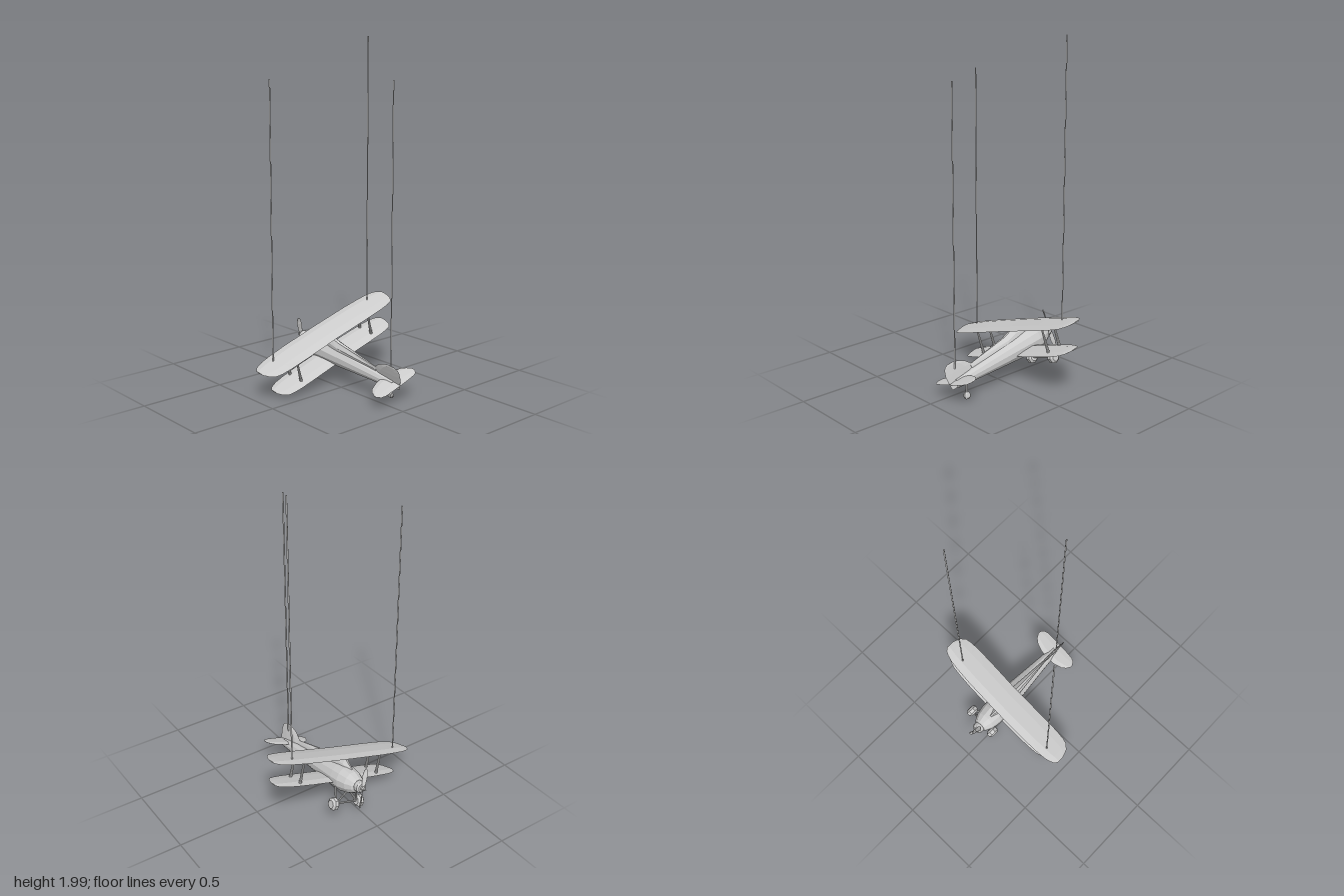
import * as THREE from 'three';

const mat = new THREE.MeshStandardMaterial({ color: 0xcccccc, flatShading: true, side: THREE.DoubleSide });

function add(parent, name, geometry) {
  const mesh = new THREE.Mesh(geometry, mat);
  mesh.name = name;
  parent.add(mesh);
  return mesh;
}

// Skin a row of equal-length cross-sections and cap both ends
function loft(sections) {
  const n = sections[0].length, index = [];
  for (let s = 0; s < sections.length - 1; s++) {
    for (let i = 0; i < n; i++) {
      const j = (i + 1) % n, a = s * n, b = a + n;
      index.push(a + i, a + j, b + j, a + i, b + j, b + i);
    }
  }
  const last = (sections.length - 1) * n;
  for (let i = 1; i < n - 1; i++) index.push(0, i + 1, i, last, last + i, last + i + 1);
  const g = new THREE.BufferGeometry();
  g.setAttribute('position', new THREE.Float32BufferAttribute(sections.flat(2), 3));
  g.setIndex(index);
  g.computeVertexNormals();
  return g;
}

// Thin aerofoil along x; stations are [x, leading z, trailing z, half thickness]
const foil = stations => loft(stations.map(([x, z0, z1, t]) =>
  [[0, 0], [0.25, 1], [0.7, 0.7], [1, 0], [0.7, -0.7], [0.25, -1]]
    .map(([f, h]) => [x, h * t, z0 + (z1 - z0) * f])));

const mirrored = half => [
  ...half.slice().reverse().filter(s => s[0] > 0).map(([x, ...r]) => [-x, ...r]), ...half];

// Tapered round bar between two points
function rod(parent, name, a, b, r0, r1 = r0, sides = 8) {
  const p = new THREE.Vector3(...a), q = new THREE.Vector3(...b);
  const d = q.clone().sub(p);
  const m = add(parent, name, new THREE.CylinderGeometry(r1, r0, d.length(), sides));
  m.position.copy(p).add(q).multiplyScalar(0.5);
  m.quaternion.setFromUnitVectors(new THREE.Vector3(0, 1, 0), d.normalize());
  return m;
}

// Profile of [radius, distance] turned about an axis
const lathe = (pts, sides) => new THREE.LatheGeometry(pts.map(p => new THREE.Vector2(...p)), sides);

function wheel(parent, name, x, y, z, r, w) {
  const g = lathe([[0, -w / 2], [r * 0.65, -w / 2], [r, -w / 4], [r, w / 4], [r * 0.65, w / 2], [0, w / 2]], 8);
  add(parent, name, g.rotateZ(-Math.PI / 2)).position.set(x, y, z);
}

export function createModel() {
  const model = new THREE.Group();
  model.name = 'hangingBiplane';

  // The aeroplane banks and climbs, nose towards -z
  const plane = new THREE.Group();
  plane.name = 'biplane';
  plane.position.set(0.048, 0.164, 0);
  plane.rotation.set(0.16, 0, 0.3, 'ZXY');
  model.add(plane);

  // Body with stepped engine cowl
  add(plane, 'fuselage', lathe([[0, -0.375], [0.026, -0.37], [0.045, -0.16], [0.063, 0.04], [0.076, 0.19],
    [0.077, 0.25], [0.066, 0.31], [0.047, 0.35], [0.035, 0.36], [0, 0.36]], 12).rotateX(-Math.PI / 2));
  add(plane, 'cowl', lathe([[0.034, 0.35], [0.034, 0.385], [0.026, 0.395], [0, 0.395]], 12).rotateX(-Math.PI / 2));
  add(plane, 'spinner', lathe([[0, 0.385], [0.014, 0.39], [0.012, 0.41], [0, 0.432]], 8).rotateX(-Math.PI / 2));

  // Raised spine running from the windscreen to the fin
  add(plane, 'spine', loft([[-0.29, 0.012, 0.07], [-0.22, 0.022, 0.112], [-0.12, 0.028, 0.115],
    [-0.05, 0.028, 0.095], [0.24, 0.006, 0.06]].map(([z, w, y]) =>
    [[w * 1.3, 0.02, z], [w, y * 0.75, z], [w * 0.3, y, z], [-w * 0.3, y, z], [-w, y * 0.75, z], [-w * 1.3, 0.02, z]])));

  // Wings: the lower one is a little smaller
  const half = [[0, -0.1, 0.097, 0.011], [0.24, -0.097, 0.102, 0.011], [0.36, -0.09, 0.102, 0.01],
    [0.42, -0.083, 0.097, 0.009], [0.455, -0.073, 0.088, 0.008], [0.482, -0.06, 0.06, 0.006], [0.497, -0.038, 0.015, 0.003]];
  add(plane, 'upperWing', foil(mirrored(half))).position.set(0, 0.125, -0.16);
  const lower = add(plane, 'lowerWing', foil(mirrored(half)));
  lower.position.set(0, -0.026, -0.133);
  lower.scale.set(0.89, 1, 0.88);

  // Tail surfaces
  add(plane, 'tailplane', foil(mirrored([[0, 0.29, 0.42, 0.007], [0.06, 0.295, 0.42, 0.007],
    [0.115, 0.315, 0.417, 0.006], [0.138, 0.337, 0.408, 0.005], [0.153, 0.365, 0.385, 0.002]]))).position.y = 0.015;
  add(plane, 'fin', foil([[-0.02, 0.2, 0.41, 0.007], [0.03, 0.21, 0.42, 0.007], [0.065, 0.235, 0.425, 0.007],
    [0.095, 0.27, 0.42, 0.006], [0.113, 0.31, 0.41, 0.005], [0.122, 0.345, 0.385, 0.002]]).rotateZ(Math.PI / 2));

  // Propeller: two twisted blades
  const blade = [[0.005, 0.006, 1.0], [0.035, 0.012, 0.8], [0.08, 0.014, 0.6], [0.108, 0.01, 0.45], [0.12, 0.003, 0.4]];
  for (const turn of [0, Math.PI]) {
    const g = loft(blade.map(([y, w, a]) => [[w, 0.002], [w, -0.002], [-w, -0.002], [-w, 0.002]]
      .map(([u, v]) => [u * Math.cos(a) - v * Math.sin(a), y, u * Math.sin(a) + v * Math.cos(a)])));
    const m = add(plane, 'propellerBlade', g);
    m.position.z = -0.402;
    m.rotation.z = turn;
  }

  // Wing struts and main landing gear, both sides
  for (const s of [-1, 1]) {
    const side = s > 0 ? 'left' : 'right';
    for (const z of [-0.195, -0.1]) {
      rod(plane, side + 'WingStrut', [s * 0.285, -0.026, z + 0.01], [s * 0.285, 0.125, z], 0.009, 0.005);
    }
    for (const z of [-0.31, -0.2]) {
      rod(plane, side + 'GearStrut', [s * 0.035, -0.05, z], [s * 0.075, -0.133, -0.28], 0.006);
    }
    wheel(plane, side + 'Wheel', s * 0.093, -0.133, -0.28, 0.038, 0.044);
  }
  rod(plane, 'axle', [-0.1, -0.133, -0.28], [0.1, -0.133, -0.28], 0.006);

  // Tail wheel
  rod(plane, 'tailWheelStrut', [0, -0.01, 0.3], [0, -0.088, 0.33], 0.008, 0.006);
  wheel(plane, 'tailWheel', 0, -0.09, 0.33, 0.022, 0.02);

  // Hanging strings, straight up
  for (const [x, z, y0, y1] of [[-0.365, -0.165, 0.185, 1.775], [0.355, -0.165, 0.41, 2], [0.045, 0.36, 0.19, 1.775]]) {
    rod(model, 'string', [x, y0, z], [x, y1, z], 0.005, 0.005, 4);
  }
  return model;
}
